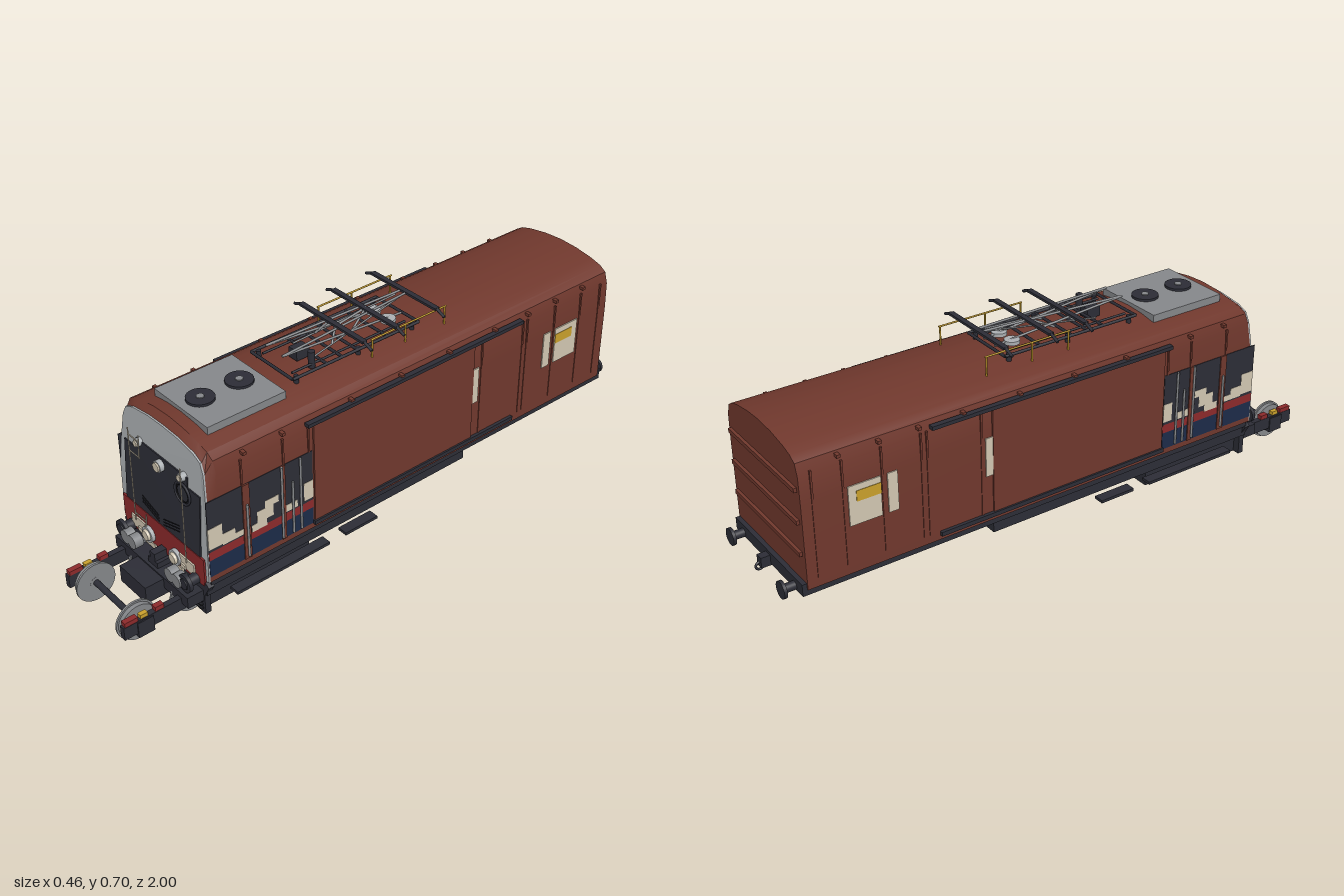
import * as THREE from 'three';
import { toCreasedNormals } from 'three/addons/utils/BufferGeometryUtils.js';

const mat = (name, color) => {
  const m = new THREE.MeshStandardMaterial({ color, side: THREE.DoubleSide });
  m.name = name;
  return m;
};

export function createModel() {
  const model = new THREE.Group();
  const brown = mat('brown paint', 0x70382d), silver = mat('silver', 0xabafb2), grey = mat('grey metal', 0x85878a);
  const dark = mat('dark metal', 0x2c2d36), red = mat('red paint', 0x8c2a2b), cream = mat('cream', 0xd2c7b2);
  const navy = mat('navy paint', 0x1c2b48), yellow = mat('yellow', 0xc9a02c), black = mat('underside black', 0x202126);

  const add = (name, geo, m, x = 0, y = 0, z = 0) => {
    const mesh = new THREE.Mesh(geo, m);
    mesh.name = name;
    mesh.position.set(x, y, z);
    model.add(mesh);
    return mesh;
  };
  // box given by its limits
  const box = (name, m, x0, x1, y0, y1, z0, z1) => add(name,
    new THREE.BoxGeometry(Math.abs(x1 - x0), y1 - y0, Math.abs(z1 - z0)), m, (x0 + x1) / 2, (y0 + y1) / 2, (z0 + z1) / 2);
  const both = (name, m, x0, x1, ...rest) => [1, -1].forEach(s => box(name, m, s * x0, s * x1, ...rest));
  const disc = (name, m, r, len, axis, x, y, z, r2 = r, n = 28) => {
    const g = new THREE.CylinderGeometry(r2, r, len, n);
    if (axis === 'x') g.rotateZ(-Math.PI / 2);
    if (axis === 'z') g.rotateX(Math.PI / 2);
    return add(name, g, m, x, y, z);
  };
  // round bar between two points
  const bar = (name, m, a, b, r = 0.003) => {
    const A = new THREE.Vector3(...a), B = new THREE.Vector3(...b), d = B.clone().sub(A);
    const mesh = add(name, new THREE.CylinderGeometry(r, r, d.length(), 8), m);
    mesh.position.copy(A).add(B).multiplyScalar(0.5);
    mesh.quaternion.setFromUnitVectors(new THREE.Vector3(0, 1, 0), d.normalize());
  };

  // body shell: cross-sections lofted along z, with a leaning front
  const frontZ = y => 0.735 - Math.max(0, y - 0.3) * 0.08;
  const mirror = h => [...h, ...h.slice(0, -1).reverse().map(([x, y]) => [-x, y])];
  const main = mirror([[.22, .17], [.22, .45], [.217, .54], [.205, .578], [.18, .594], [.14, .605], [.07, .616], [0, .62]]);
  const nose = mirror([[.22, .17], [.22, .35], [.213, .45], [.2, .54], [.185, .572], [.15, .587], [.07, .598], [0, .6]]);
  const rings = [main.map(([x, y]) => [x, y, -0.94]), main.map(([x, y]) => [x, y, 0.69]), nose.map(([x, y]) => [x, y, frontZ(y)])];
  const pos = [], idx = [], n = main.length;
  rings.forEach(r => r.forEach(p => pos.push(...p)));
  for (let r = 0; r < 2; r++) for (let i = 0; i < n; i++) {
    const a = r * n + i, b = r * n + (i + 1) % n;
    idx.push(a, b, a + n, b, b + n, a + n);
  }
  const shell = new THREE.BufferGeometry();
  shell.setAttribute('position', new THREE.Float32BufferAttribute(pos, 3));
  shell.setIndex(idx);
  add('bodyShell', toCreasedNormals(shell, 0.6), brown);
  const shapeOf = pts => new THREE.Shape(pts.map(p => new THREE.Vector2(...p)));
  add('rearWall', new THREE.ShapeGeometry(shapeOf(main)).rotateY(Math.PI), brown, 0, 0, -0.94);

  // plates that follow the lean of the cab front
  const frontPlate = (name, m, pts, z0, depth) => {
    const g = new THREE.ExtrudeGeometry(shapeOf(pts), { depth, bevelEnabled: false });
    const p = g.attributes.position;
    for (let i = 0; i < p.count; i++) p.setZ(i, p.getZ(i) + frontZ(p.getY(i)) + z0);
    g.computeVertexNormals();
    add(name, g, m);
  };
  frontPlate('cabFace', silver, nose, 0, 0.006);
  frontPlate('windscreenPanel', dark, mirror([[.19, .25], [.19, .461], [.13, .461], [.13, .494], [0, .494]]), 0.006, 0.004);
  frontPlate('redFrontBand', red, mirror([[.2, .15], [.208, .17], [.208, .251], [0, .251]]), 0.006, 0.006);
  for (const s of [1, -1]) for (let i = 0; i < 3; i++)
    bar('grilleLine', black, [s * .012, .262 + i * .011, .747], [s * .095, .288 + i * .011, .747], 0.0015);

  // cab side livery, sliding doors, windows and ribs
  both('cabSidePanel', dark, .219, .2215, .28, .46, .35, .735);
  both('redStripe', red, .219, .2215, .25, .28, .35, .735);
  both('navyBand', navy, .219, .2215, .19, .25, .35, .735);
  [[.735, .685, .29, .365], [.685, .61, .285, .305], [.72, .64, .305, .325], [.58, .525, .275, .3], [.56, .5, .3, .34],
    [.53, .48, .34, .365], [.46, .41, .285, .31], [.385, .35, .29, .355]]
    .forEach(([z0, z1, y0, y1]) => both('creamPatch', cream, .22, .2225, y0, y1, z0, z1));
  both('cabDoorPost', brown, .219, .225, .19, .46, .585, .61);
  both('cabDoorPost', brown, .219, .225, .19, .46, .455, .47);
  [.597, .47, .43, .4].forEach((z, i) => [1, -1].forEach(s =>
    bar('handrail', grey, [s * .228, .2, z], [s * .228, i % 2 ? .46 : .39, z], .004)));
  both('slidingDoor', brown, .217, .225, .2, .55, .345, -.31);
  both('upperDoorRail', dark, .214, .232, .553, .565, .37, -.52);
  both('lowerDoorRail', dark, .216, .231, .186, .2, .35, -.5);
  [[-.308, -.335], [-.635, -.668], [-.69, -.795]].forEach(([a, b]) => both('sideWindow', cream, .219, .2235, .33, .46, a, b));
  both('yellowLabel', yellow, .222, .225, .405, .44, -.69, -.77);
  [.61, .46, .365, -.345, -.53, -.55, -.68, -.805, -.9].forEach(z =>
    both('bodyRib', brown, .216, .2225, z > 0 ? .46 : .2, .55, z, z - .006));
  [.6, .46, .2, 0, -.2, -.4, -.55, -.68, -.81].forEach(z => both('roofEdgeBracket', brown, .205, .224, .562, .572, z, z - .012));
  [.285, .39, .495].forEach(y => box('rearRib', brown, -.205, .205, y - .007, y + .007, -.95, -.94));

  // underframe
  box('underframe', dark, -.215, .215, .15, .19, .73, -.955);
  box('underframeFloor', black, -.2, .2, .14, .15, .73, -.94);
  box('equipmentBay', dark, -.205, .205, .11, .15, .74, -.3);
  box('bogieBox', dark, -.17, .17, .035, .11, .74, .33);
  frontPlate('frontApron', dark, mirror([[.195, .035], [.195, .105], [.22, .15], [.2, .165], [0, .15]]), -.012, .02);
  both('longStep', dark, .195, .231, .08, .09, .65, .295);
  both('shortStep', dark, .195, .231, .08, .09, .23, .1);
  for (const s of [1, -1]) for (let i = 0; i < 4; i++) box('apronLouvre', black, s * .15, s * .185, .05 + i * .014, .055 + i * .014, .74, .752);

  // wheels with flange, tread and hub
  [.93, .74, .55].forEach(z => {
    for (const s of [1, -1]) {
      disc('wheelFlange', grey, .067, .007, 'x', s * .107, .067, z, .067, 40);
      disc('wheelTread', grey, .061, .02, 'x', s * .115, .067, z, .061, 40);
      disc('wheelHub', grey, .02, .03, 'x', s * .118, .067, z);
    }
    disc('axle', dark, .01, .24, 'x', 0, .067, z);
  });

  // leading truck
  both('truckSideBar', dark, .138, .158, .06, .105, 1, .74);
  both('axleBox', dark, .135, .162, .045, .1, .955, .9);
  both('redBracket', red, .138, .157, .105, .12, .995, .95);
  both('redBracket', red, .138, .157, .105, .12, .89, .86);
  both('yellowCap', yellow, .139, .155, .1, .118, .94, .915);
  box('truckCrossBeam', dark, -.19, .19, .085, .125, .8, .74);
  box('truckMotor', dark, -.068, .068, .06, .12, .865, .78);
  box('couplerPocket', dark, -.025, .025, .09, .145, .79, .74);
  box('couplerHook', dark, -.013, .013, .13, .172, .79, .74);

  // front lamps and buffers
  for (const s of [1, -1]) {
    box('lampPanel', cream, s * .088, s * .162, .165, .205, .74, .752);
    box('lampPanel', cream, s * .045, s * .095, .132, .15, .74, .75);
    box('lampPanel', cream, s * .1, s * .122, .165, .18, .75, .757);
    disc('lampRim', silver, .027, .014, 'z', s * .07, .18, .752);
    disc('headlight', cream, .024, .02, 'z', s * .07, .18, .757, .016);
    disc('bufferStem', dark, .018, .06, 'z', s * .165, .16, .765);
    disc('bufferHead', dark, .03, .012, 'z', s * .165, .16, .785);
    disc('lowerLamp', grey, .023, .03, 'z', s * .133, .154, .785);
    disc('lowerLamp', grey, .023, .03, 'z', s * .098, .154, .785);
    disc('markerRim', silver, .0135, .02, 'z', s * .11, .49, .733);
    disc('markerLamp', cream, .01, .024, 'z', s * .11, .49, .735);
    // rear buffers
    disc('rearBufferStem', dark, .014, .05, 'z', s * .165, .163, -.97);
    disc('rearBufferHead', dark, .028, .01, 'z', s * .165, .163, -.995);
  }
  disc('centreLampRim', silver, .019, .022, 'z', 0, .468, .735);
  disc('centreLamp', cream, .015, .028, 'z', 0, .468, .737);
  add('frontRing', new THREE.TorusGeometry(.036, .004, 8, 32), dark, .115, .437, .74);
  add('frontRingInner', new THREE.TorusGeometry(.028, .002, 6, 32), black, .115, .437, .74);
  box('rearHookBlock', dark, -.014, .014, .145, .18, -.985, -.95);
  add('rearHook', new THREE.TorusGeometry(.012, .004, 8, 16).rotateY(Math.PI / 2), dark, 0, .148, -.985);

  // ladder rails and rungs on the cab front
  const rail = (x, y0, y1) => bar('ladderRail', cream, [x, y0, .756], [x, y1, .752], .002);
  rail(-.131, .2, .54); rail(.131, .2, .54); rail(-.076, .46, .54); rail(-.076, .2, .25);
  [.52, .461, .225].forEach(y => bar('ladderRung', cream, [-.131, y, .754], [-.076, y, .754], .002));

  // roof fan housing
  box('fanHousing', grey, -.13, .13, .605, .632, .37, .65);
  [.44, .58].forEach(z => {
    disc('roofFan', dark, .044, .008, 'y', 0, .636, z);
    disc('fanHub', grey, .012, .012, 'y', 0, .637, z);
  });

  // pantograph base
  for (const s of [1, -1]) {
    bar('baseRail', dark, [s * .1, .635, -.18], [s * .1, .635, .32], .005);
    bar('baseRail', dark, [s * .07, .635, -.15], [s * .07, .635, .3], .004);
    [-.16, .06, .3].forEach(z => disc('baseInsulator', dark, .008, .03, 'y', s * .09, .622, z));
    // yellow conductor rods
    bar('conductorRod', yellow, [s * .127, .67, -.27], [s * .127, .67, .04]);
    [-.265, -.1, .035].forEach(z => bar('conductorPost', yellow, [s * .127, .59, z], [s * .127, .67, z]));
    // folded arms
    bar('lowerArm', grey, [s * .03, .64, -.17], [s * .04, .682, .31], .004);
    bar('upperArm', grey, [s * .04, .682, .31], [s * .012, .69, -.2], .004);
    bar('bowStrut', grey, [s * .035, .645, .05], [0, .692, -.05], .004);
    bar('bowStrut', grey, [s * .04, .65, .12], [s * .015, .69, .085], .004);
    bar('diagonalArm', grey, [s * .05, .64, .2], [s * .01, .685, -.18], .003);
    disc('pantographSpring', silver, .025, .012, 'y', s * .035, .642, -.11);
  }
  [-.18, -.05, .07, .13, .19, .32].forEach(z => bar('baseCrossBar', dark, [-.1, .635, z], [.1, .635, z], .005));
  box('pantographMotor', dark, -.019, .019, .625, .66, .19, .24);
  disc('roofInsulator', dark, .011, .055, 'y', .064, .648, .22);
  // collector bows with drooping horns
  [-.21, -.045, .085].forEach(z => {
    box('collectorBow', dark, -.15, .15, .687, .695, z - .009, z + .009);
    for (const s of [1, -1]) bar('bowHorn', dark, [s * .148, .691, z], [s * .182, .677, z], .005);
  });
  return model;
}
